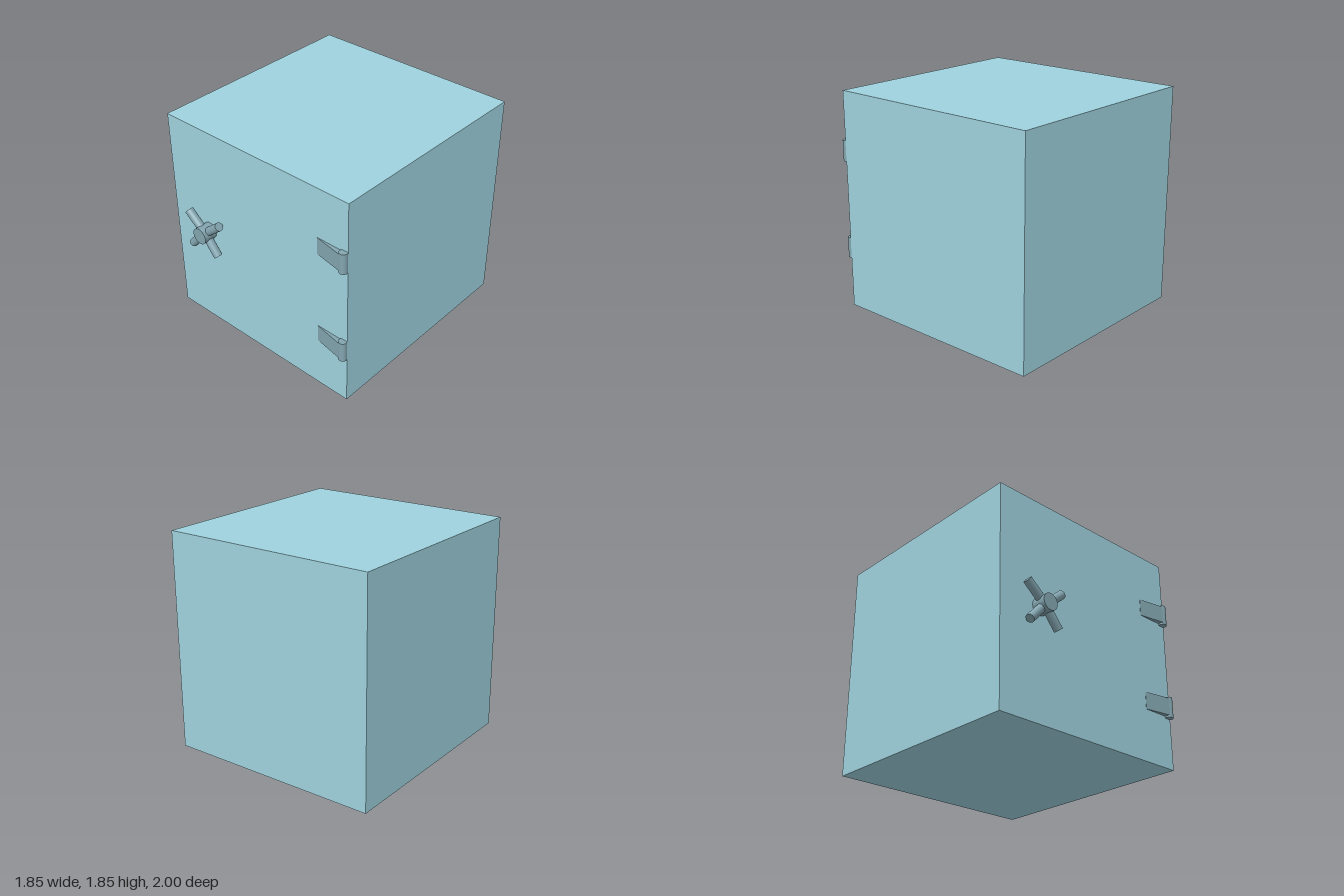
import * as THREE from 'three';

export function createModel() {
  const group = new THREE.Group();
  const bodyMat = new THREE.MeshStandardMaterial({ color: 0x9fd2de });
  const metalMat = new THREE.MeshStandardMaterial({ color: 0x83a5b0 });

  const add = (parent, name, geometry, material, x, y, z) => {
    const mesh = new THREE.Mesh(geometry, material);
    mesh.name = name;
    mesh.position.set(x, y, z);
    parent.add(mesh);
    return mesh;
  };

  // Safe body
  const front = 0.88;
  add(group, 'body', new THREE.BoxGeometry(1.846, 1.852, 1 + front), bodyMat, -0.002, 0.926, (front - 1) / 2);

  // Wheel handle: a hub with four spokes
  const handle = new THREE.Group();
  handle.name = 'handle';
  handle.position.set(-0.533, 0.928, 0.937);
  group.add(handle);
  const hub = new THREE.CylinderGeometry(0.07, 0.07, 0.126, 32).rotateX(Math.PI / 2);
  add(handle, 'hub', hub, metalMat, 0, 0, 0);
  const spokeEnds = [[0.174, 0.145], [-0.174, 0.145], [-0.153, -0.168], [0.136, -0.166]];
  for (const [x, y] of spokeEnds) {
    const length = Math.hypot(x, y);
    const spoke = new THREE.CylinderGeometry(0.036, 0.036, length, 24);
    add(handle, 'spoke', spoke, metalMat, x / 2, y / 2, 0).rotation.z = Math.atan2(-x, y);
  }

  // Hinges: a wedge-shaped plate running onto an upright pin
  const wedge = new THREE.Shape([
    new THREE.Vector2(0.63, front - 0.005),
    new THREE.Vector2(0.89, front - 0.005),
    new THREE.Vector2(0.885, 0.927),
    new THREE.Vector2(0.63, front + 0.002),
  ]);
  for (const y of [0.516, 1.352]) {
    const hinge = new THREE.Group();
    hinge.name = 'hinge';
    hinge.position.y = y;
    group.add(hinge);
    const plate = new THREE.ExtrudeGeometry(wedge, { depth: 0.148, bevelEnabled: false }).rotateX(Math.PI / 2);
    add(hinge, 'hingePlate', plate, metalMat, 0, 0.076, 0);
    add(hinge, 'hingePin', new THREE.CylinderGeometry(0.034, 0.034, 0.176, 24), metalMat, 0.891, 0, 0.897);
  }

  return group;
}
